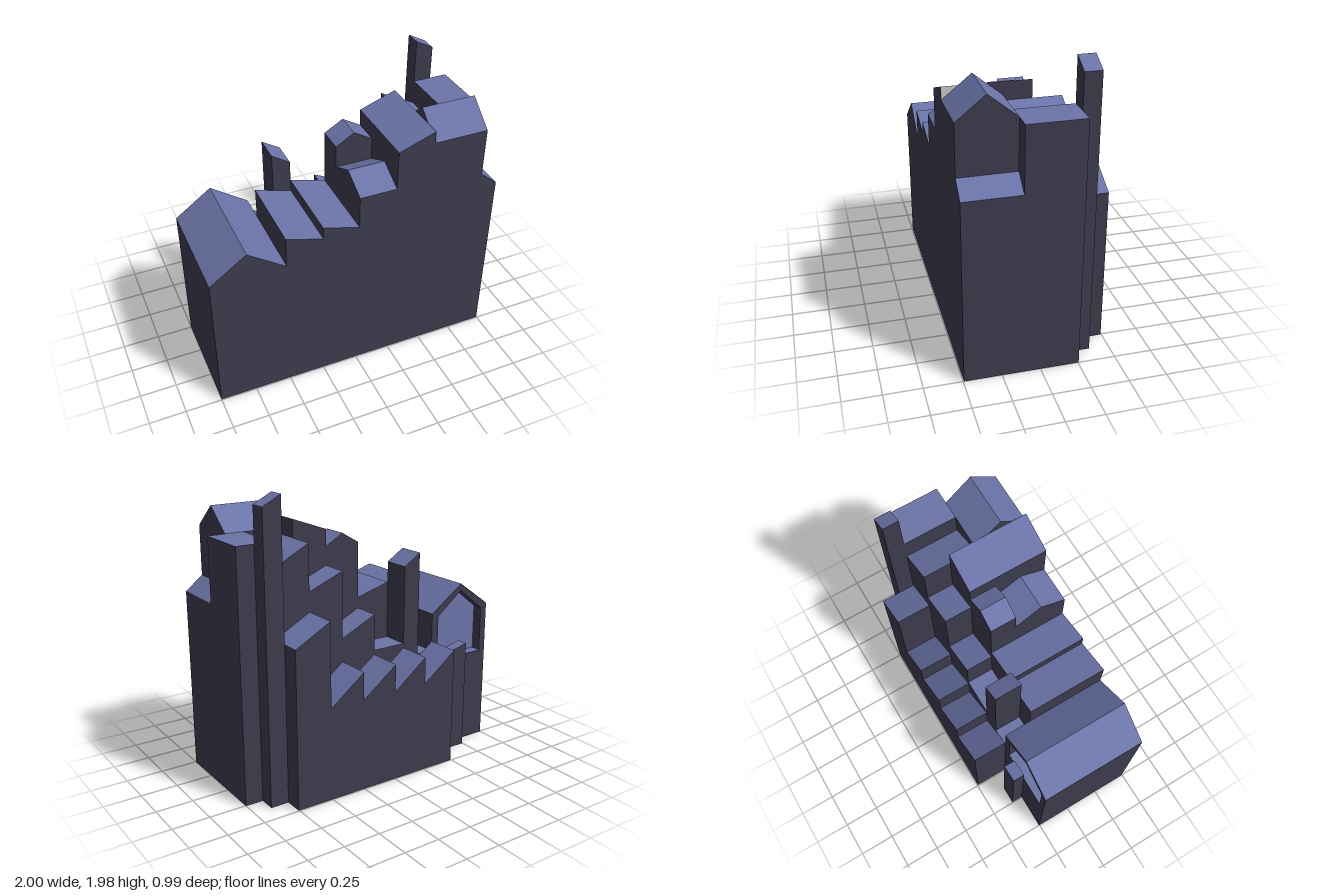
import * as THREE from 'three';

const side = THREE.DoubleSide;
const wallMat = new THREE.MeshStandardMaterial({ color: 0x3d3b4d, side });
const roofMat = new THREE.MeshStandardMaterial({ color: 0x6b74a8, side });
const greyMat = new THREE.MeshStandardMaterial({ color: 0xcccccc, side });

// Key lines of the plan
const FRONT = 0.495, BACK = -0.495, REAR = -0.255, MID = -0.065, STEP = 0.12;

// Outer walls reach the ground; walls between houses stop above the hollow inside
const footprint = [[-1, 1, REAR, FRONT], [-0.495, 0.755, BACK, REAR]];
const inside = (x, z) => footprint.some(([x0, x1, z0, z1]) => x > x0 && x < x1 && z > z0 && z < z1);
const baseAt = (x, z) => (inside(x, z) ? 0.62 : 0);

// Flat-shaded mesh from a list of four-cornered faces
function quadMesh(name, quads, material) {
  const pos = quads.flatMap(([a, b, c, d]) => [a, b, c, a, c, d]).flat();
  const g = new THREE.BufferGeometry();
  g.setAttribute('position', new THREE.Float32BufferAttribute(pos, 3));
  g.computeVertexNormals();
  const mesh = new THREE.Mesh(g, material);
  mesh.name = name;
  return mesh;
}

// Roof skin over a profile of [x, y] points, swept from z0 to z1
function roof(profile, z0, z1) {
  const quads = profile.slice(1).map(([x1, y1], i) => {
    const [x0, y0] = profile[i];
    return [[x0, y0, z1], [x1, y1, z1], [x1, y1, z0], [x0, y0, z0]];
  });
  return quadMesh('roof', quads, roofMat);
}

// Walls under the profile, open at the bottom; turned blocks run along x
function walls(profile, z0, z1, turned = false) {
  const base = (a, b) => (turned ? baseAt(b, -a) : baseAt(a, b));
  const [xa, ya] = profile[0], [xb, yb] = profile[profile.length - 1];
  const midX = (xa + xb) / 2, midZ = (z0 + z1) / 2, e = 0.01;
  const right = base(xb + e, midZ), left = base(xa - e, midZ);
  const front = base(midX, z1 + e), back = base(midX, z0 - e);
  const quads = [
    [[xb, right, z1], [xb, right, z0], [xb, yb, z0], [xb, yb, z1]],
    [[xa, left, z0], [xa, left, z1], [xa, ya, z1], [xa, ya, z0]],
  ];
  profile.slice(1).forEach(([x1, y1], i) => {
    const [x0, y0] = profile[i];
    quads.push([[x0, front, z1], [x1, front, z1], [x1, y1, z1], [x0, y0, z1]]);
    quads.push([[x1, back, z0], [x0, back, z0], [x0, y0, z0], [x1, y1, z0]]);
  });
  return quadMesh('walls', quads, wallMat);
}

function block(name, profile, z0, z1, turned) {
  const g = new THREE.Group();
  g.name = name;
  g.add(walls(profile, z0, z1, turned), roof(profile, z0, z1));
  return g;
}

// Gabled block whose ridge runs along x
function crossGable(name, x0, x1, z0, z1, eave, ridge) {
  const mid = (z0 + z1) / 2;
  const g = block(name, [[-z1, eave], [-mid, ridge], [-z0, eave]], x0, x1, true);
  g.rotation.y = Math.PI / 2;
  return g;
}

// Gabled end house with a recessed window in its back wall
function endHouse() {
  const g = new THREE.Group();
  g.name = 'endHouse';
  const recess = -0.18, right = -0.495;
  const profile = [[-1, 1.02], [-0.75, 1.2], [right, 1.02]];
  g.add(walls(profile, recess, FRONT), roof(profile, REAR, FRONT));

  const toPoints = (list) => list.map(([x, y]) => new THREE.Vector2(x, y));
  const opening = toPoints([[-0.95, 0.665], [-0.95, 0.99], [-0.75, 1.15], [-0.55, 0.99], [-0.55, 0.665]]);
  const shape = new THREE.Shape(toPoints([[-1, 0], [right, 0], [right, 1.017], [-0.75, 1.197], [-1, 1.017]]));
  shape.holes.push(new THREE.Path(opening));
  const frame = new THREE.Mesh(new THREE.ExtrudeGeometry(shape, { depth: recess - REAR, bevelEnabled: false }), wallMat);
  frame.name = 'windowFrame';
  frame.position.z = REAR;

  const pane = new THREE.Mesh(new THREE.ShapeGeometry(new THREE.Shape(opening)), roofMat);
  pane.name = 'windowPane';
  pane.position.z = recess - 0.003;
  const sill = roof([[-0.95, 0.668], [-0.55, 0.668]], REAR, recess);
  sill.name = 'windowSill';
  g.add(frame, pane, sill);
  return g;
}

export function createModel() {
  const model = new THREE.Group();
  model.name = 'rowOfHouses';
  model.add(endHouse());

  // Lean-to blocks: name, x0, x1, z0, z1, height at x0, height at x1
  const leanTos = [
    ['frontHouse', -0.495, -0.245, MID, FRONT, 1.235, 1.16],
    ['frontHouse', -0.245, 0.003, MID, FRONT, 1.245, 1.175],
    ['frontHouse', 0.257, 0.505, MID, FRONT, 1.67, 1.76],
    ['cornerAnnex', 0.88, 1, STEP, FRONT, 1.34, 1.245],
    ['flatHouse', 0.755, 1, REAR, STEP, 1.677, 1.677],
    ['middleHouse', 0.505, 0.755, REAR, STEP, 1.64, 1.51],
    ['middleHouse', 0.257, 0.505, REAR, MID, 1.43, 1.33],
    ['middleHouse', 0.003, 0.257, REAR, MID, 1.1, 0.98],
    ['middleHouse', -0.245, 0.003, REAR, MID, 0.85, 0.85],
    ['middleHouse', -0.495, -0.37, REAR, MID, 0.75, 0.75],
    ['middleChimney', -0.37, -0.245, REAR, MID, 1.47, 1.39],
    ['tallChimney', 0.755, 0.88, -0.368, REAR, 1.975, 1.91],
    ['smallChimney', -0.745, -0.62, -0.337, REAR, 0.78, 0.75],
    ['backHouse', 0.505, 0.755, BACK, REAR, 1.2, 1.065],
  ];
  // Saw-tooth row along the back
  const teeth = [-0.495, -0.245, 0.003, 0.257, 0.505];
  for (let i = 0; i < 4; i++) {
    leanTos.push(['backHouse', teeth[i], teeth[i + 1], BACK, REAR, 0.82, 0.63]);
  }
  for (const [name, x0, x1, z0, z1, y0, y1] of leanTos) {
    model.add(block(name, [[x0, y0], [x1, y1]], z0, z1));
  }

  // Gabled houses, and the bare grey patch above the high gable's front slope
  const patch = [0.507, 1.677, FRONT];
  model.add(
    block('gabledHouse', [[0.003, 1.555], [0.13, 1.63], [0.257, 1.555]], MID, STEP),
    crossGable('lowCrossGable', 0.003, 0.257, STEP, FRONT, 1.4, 1.495),
    crossGable('highCrossGable', 0.505, 0.88, STEP, FRONT, 1.677, 1.83),
    quadMesh('greyPatch', [[patch, [0.507, 1.76, 0.39], [0.507, 1.76, FRONT], patch]], greyMat),
  );
  return model;
}
